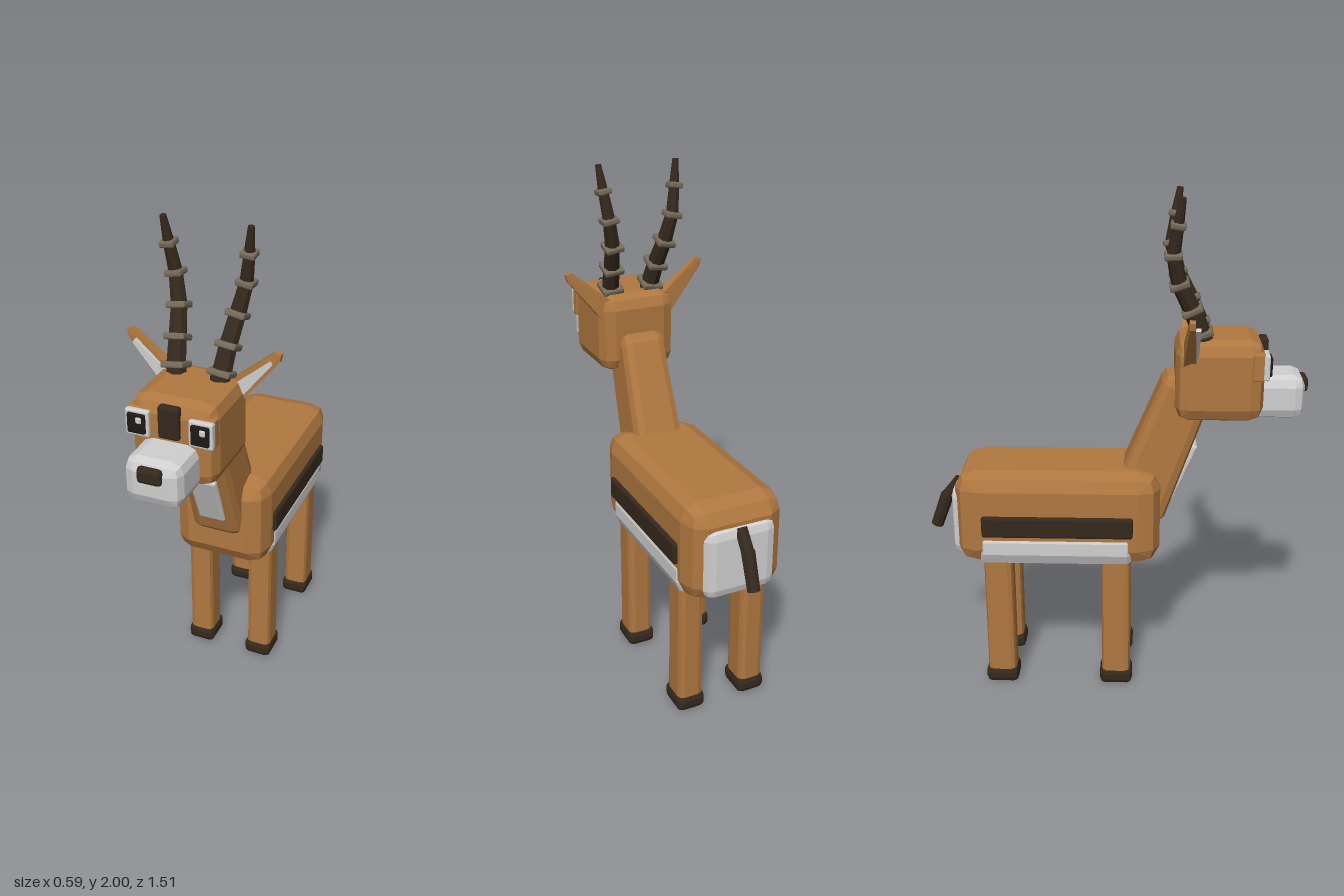
import * as THREE from 'three';
import { ConvexGeometry } from 'three/addons/geometries/ConvexGeometry.js';

const mat = (name, color) => {
  const m = new THREE.MeshStandardMaterial({ color });
  m.name = name;
  return m;
};
const V = (x, y, z) => new THREE.Vector3(x, y, z);

export function createModel() {
  const fur = mat('tan fur', 0xb07840);
  const white = mat('pale fur', 0xd0d0d0);
  const dark = mat('dark brown', 0x35291d);
  const black = mat('eye black', 0x1e1917);
  const ringTan = mat('horn ring', 0x756a59);

  const root = new THREE.Group();
  root.name = 'antelope';

  const add = (name, geo, material, parent = root) => {
    const m = new THREE.Mesh(geo, material);
    m.name = name;
    parent.add(m);
    return m;
  };

  // Box with two-step bevelled edges; taper scales x and z at the top end
  const DIRS = [[1, 0, 0], [0, 1, 0], [0, 0, 1], [1, 1, 0], [1, 0, 1], [0, 1, 1], [1, 1, 1]];
  const bevelBox = (w, h, d, r, taper = 1) => {
    const [rx, ry, rz] = Array.isArray(r) ? r : [r, r, r];
    const pts = [];
    for (const sx of [-1, 1]) for (const sy of [-1, 1]) for (const sz of [-1, 1])
      for (const [a, b, c] of DIRS) {
        const n = 1 / Math.hypot(a, b, c);
        const y = h / 2 - ry + ry * b * n;
        const k = sy > 0 ? taper : 1;
        pts.push(V(sx * k * (w / 2 - rx + rx * a * n), sy * y, sz * k * (d / 2 - rz + rz * c * n)));
      }
    return new ConvexGeometry(pts);
  };

  // Bevelled box given by its extents on each axis
  const block = (name, [x0, x1], [y0, y1], [z0, z1], r, material, parent) => {
    const m = add(name, bevelBox(x1 - x0, y1 - y0, z1 - z0, r), material, parent);
    m.position.set((x0 + x1) / 2, (y0 + y1) / 2, (z0 + z1) / 2);
    return m;
  };

  const UP = V(0, 1, 0);
  // Straight tapered piece between two points
  const link = (name, a, b, ra, rb, material, parent) => {
    const g = new THREE.CylinderGeometry(rb, ra, a.distanceTo(b), 8).toNonIndexed();
    g.computeVertexNormals();
    const m = add(name, g, material, parent);
    m.position.copy(a).lerp(b, 0.5);
    m.quaternion.setFromUnitVectors(UP, b.clone().sub(a).normalize());
    return m;
  };

  // Torso
  block('body', [-0.198, 0.198], [0.55, 0.94], [-0.625, 0.19], [0.07, 0.07, 0.09], fur);
  block('belly', [-0.202, 0.202], [0.543, 0.715], [-0.54, 0.09], [0.06, 0.06, 0.03], white);
  block('rump', [-0.145, 0.145], [0.575, 0.86], [-0.645, -0.54], [0.04, 0.04, 0.03], white);

  // Neck leaning forward, with the chest patch on its front
  const neckLow = V(0, 0.73, 0.085), neckHigh = V(0, 1.29, 0.3);
  const neck = add('neck', bevelBox(0.215, neckLow.distanceTo(neckHigh), 0.235, 0.04, 0.86), fur);
  neck.position.copy(neckLow).lerp(neckHigh, 0.5);
  neck.rotation.x = Math.atan2(0.215, 0.56);
  const patch = add('chestPatch', bevelBox(0.11, 0.25, 0.03, 0.01), white);
  patch.position.set(0, 0.907, 0.275);
  patch.rotation.x = 0.4;

  // Head and face
  block('head', [-0.162, 0.162], [1.15, 1.47], [0.24, 0.578], 0.055, fur);
  block('muzzle', [-0.107, 0.107], [1.15, 1.322], [0.53, 0.74], 0.042, white);
  block('nose', [-0.046, 0.046], [1.245, 1.305], [0.72, 0.756], 0.014, dark);
  block('foreheadMark', [-0.04, 0.04], [1.335, 1.458], [0.56, 0.596], 0.01, dark);

  // Tail in two bent pieces
  const tail = new THREE.Group();
  tail.name = 'tail';
  root.add(tail);
  link('tailBase', V(0, 0.845, -0.625), V(0, 0.765, -0.69), 0.025, 0.025, dark, tail);
  link('tailTip', V(0, 0.78, -0.682), V(0, 0.642, -0.733), 0.027, 0.025, dark, tail);

  for (const s of [-1, 1]) {
    const side = s > 0 ? 'left' : 'right';
    const span = (a, b) => (s > 0 ? [a, b] : [-b, -a]);

    block(side + 'FlankStripe', span(0.18, 0.214), [0.682, 0.77], [-0.516, 0.083], 0.01, dark);

    // Legs and hooves
    for (const [end, z] of [['Front', 0.016], ['Back', -0.459]]) {
      block(side + end + 'Leg', span(0.083, 0.185), [0.03, 0.6], [z - 0.058, z + 0.058], 0.022, fur);
      block(side + end + 'Hoof', span(0.075, 0.192), [0, 0.068], [z - 0.067, z + 0.067], 0.022, dark);
    }

    // Eyes: socket, white, pupil and glint (glint sits on the same side of both)
    const ex = s * 0.119;
    const eye = (name, x, y, w, h, z0, z1, m) =>
      block(side + name, [x - w / 2, x + w / 2], [y - h / 2, y + h / 2], [z0, z1], 0.006, m);
    eye('EyeSocket', ex, 1.375, 0.09, 0.108, 0.53, 0.574, fur);
    eye('EyeWhite', ex, 1.375, 0.09, 0.1, 0.565, 0.592, white);
    eye('Pupil', ex, 1.376, 0.068, 0.076, 0.58, 0.602, black);
    eye('Glint', ex + 0.012, 1.392, 0.024, 0.026, 0.592, 0.606, white);

    // Ears: wedge with a pale inner face
    const ear = [];
    for (const [x, y, z0, z1] of [[0.15, 1.375, 0.268, 0.316], [0.115, 1.455, 0.268, 0.316],
      [0.272, 1.585, 0.282, 0.303], [0.296, 1.578, 0.282, 0.303], [0.29, 1.55, 0.282, 0.303]])
      ear.push(V(s * x, y, z0), V(s * x, y, z1));
    add(side + 'Ear', new ConvexGeometry(ear), fur);
    const inner = [];
    for (const [x, y] of [[0.165, 1.412], [0.135, 1.452], [0.258, 1.552], [0.266, 1.54]])
      inner.push(V(s * x, y, 0.305), V(s * x, y, 0.324));
    add(side + 'InnerEar', new ConvexGeometry(inner), white);

    // Ringed horns that sweep back, then up
    const horn = new THREE.Group();
    horn.name = side + 'Horn';
    root.add(horn);
    const pts = [[0.08, 1.445, 0.347], [0.088, 1.49, 0.335], [0.097, 1.58, 0.298], [0.112, 1.68, 0.248],
      [0.134, 1.79, 0.222], [0.15, 1.9, 0.237], [0.162, 2.0, 0.252]].map(([x, y, z]) => V(s * x, y, z));
    const radii = [0.038, 0.037, 0.034, 0.031, 0.026, 0.021, 0.012];
    for (let i = 0; i < pts.length - 1; i++) {
      link('hornSegment', pts[i], pts[i + 1], radii[i], radii[i + 1], dark, horn);
      if (i === 0) continue;
      const w = 2 * radii[i] + 0.014;
      const ring = add('hornRing', bevelBox(w, 0.024, w, 0.007), ringTan, horn);
      ring.position.copy(pts[i]);
      ring.quaternion.setFromUnitVectors(UP, pts[i + 1].clone().sub(pts[i - 1]).normalize());
    }
  }
  return root;
}
